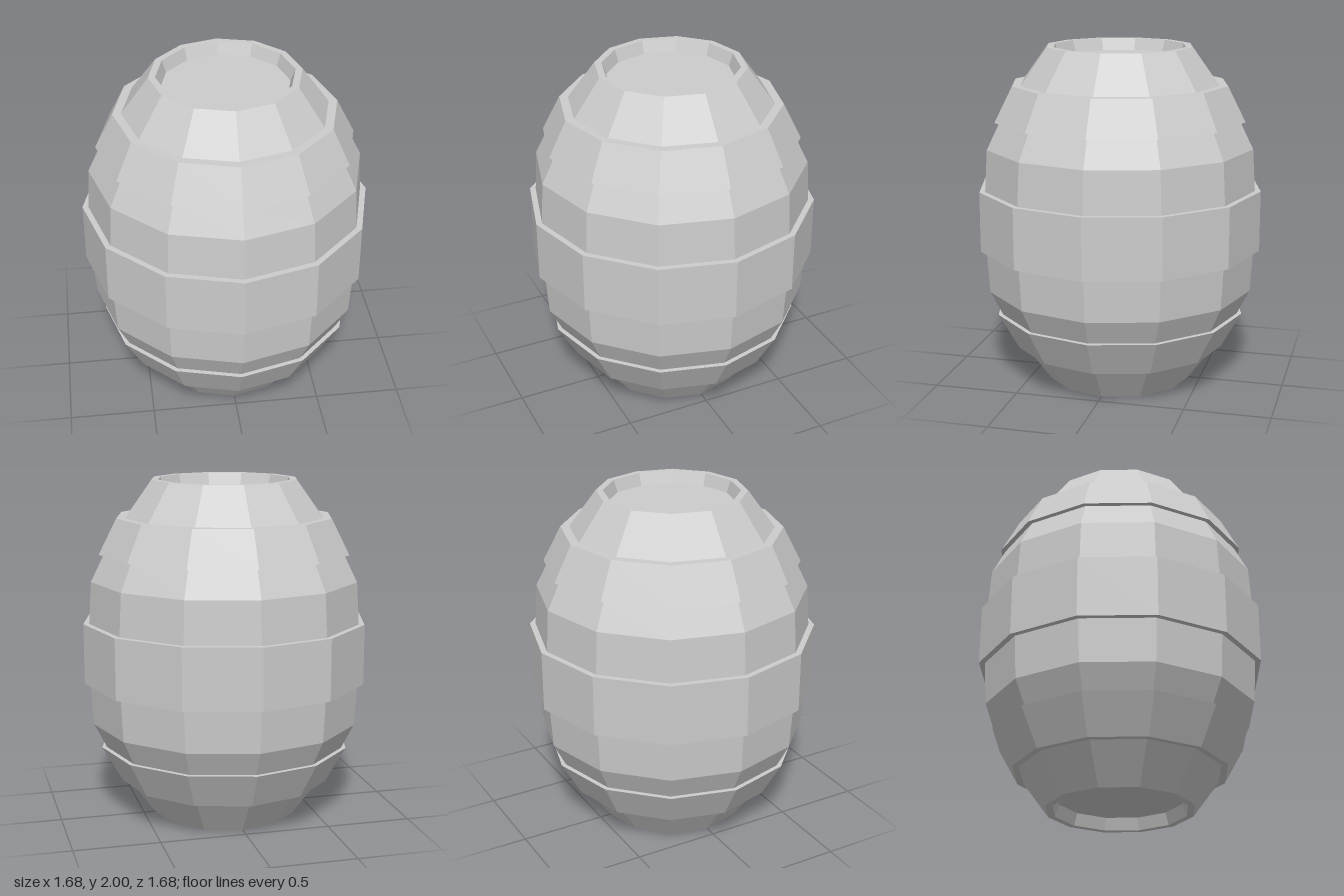
import * as THREE from 'three';

const SIDES = 12;

// Turned, faceted part from [radius, height] pairs listed bottom to top
function turned(name, profile) {
  const points = profile.map(([r, y]) => new THREE.Vector2(r, y));
  const material = new THREE.MeshStandardMaterial({ color: 0xcccccc, flatShading: true });
  const mesh = new THREE.Mesh(new THREE.LatheGeometry(points, SIDES), material);
  mesh.name = name;
  return mesh;
}

// Hoop wrapped around the body, its inner edge sunk slightly into the staves
function hoop(name, [rLow, yLow], [rHigh, yHigh]) {
  const sink = 0.08;
  return turned(name, [[rLow - sink, yLow], [rLow, yLow], [rHigh, yHigh], [rHigh - sink, yHigh]]);
}

export function createModel() {
  const barrel = new THREE.Group();
  barrel.name = 'barrel';

  // Lower half of the body: recessed head, rim, then bulging staves
  const lower = [
    [0, 0.07], [0.365, 0.07], [0.39, 0], [0.43, 0],
    [0.587, 0.215], [0.715, 0.425], [0.79, 0.575], [0.806, 0.825],
  ];
  const upper = lower.map(([r, y]) => [r, 2 - y]).reverse();
  barrel.add(turned('body', [...lower, ...upper]));

  // Three hoops
  barrel.add(
    hoop('lowerHoop', [0.625, 0.215], [0.745, 0.43]),
    hoop('middleHoop', [0.84, 0.825], [0.84, 1.18]),
    hoop('upperHoop', [0.742, 1.58], [0.637, 1.785]),
  );
  return barrel;
}
